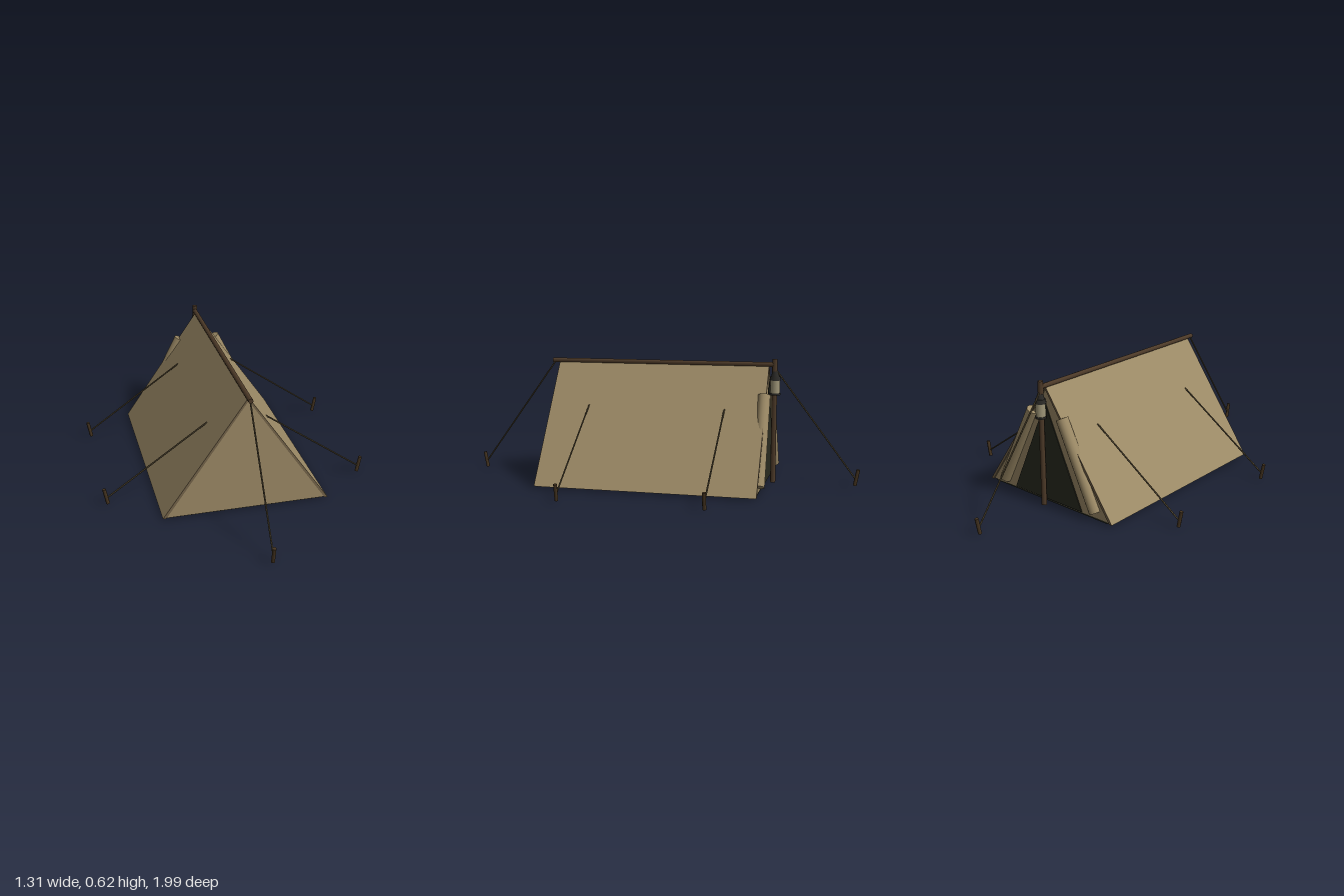
import * as THREE from 'three';

const paint = (name, color) => Object.assign(new THREE.MeshStandardMaterial({ color }), { name });

export function createModel() {
  const canvas = paint('canvas', 0x9c8a66);
  const hem = paint('canvas hem', 0x75644a);
  const dark = paint('dark cloth', 0x2a2b20);
  const wood = paint('wood', 0x4d3a28);
  const peg = paint('peg wood', 0x44331f);
  const rope = paint('rope', 0x4f4530);
  const metal = paint('lantern metal', 0x2b2a27);
  const glass = paint('lantern glass', 0x9f9678);

  const model = new THREE.Group();
  model.name = 'tent';
  const V = (x, y, z) => new THREE.Vector3(x, y, z);

  function add(name, geometry, material, x = 0, y = 0, z = 0) {
    const mesh = new THREE.Mesh(geometry, material);
    mesh.name = name;
    mesh.position.set(x, y, z);
    model.add(mesh);
    return mesh;
  }

  // Round bar between two points
  function bar(name, a, b, radius, material, sides = 8) {
    const d = b.clone().sub(a);
    const mesh = add(name, new THREE.CylinderGeometry(radius, radius, d.length(), sides), material);
    mesh.position.copy(a).add(b).multiplyScalar(0.5);
    mesh.quaternion.setFromUnitVectors(V(0, 1, 0), d.normalize());
    return mesh;
  }

  // Outline drawn in x and y, pushed along z
  function slab(name, points, z0, z1, material) {
    const shape = new THREE.Shape(points.map(([x, y]) => new THREE.Vector2(x, y)));
    const geometry = new THREE.ExtrudeGeometry(shape, { depth: z1 - z0, bevelEnabled: false });
    return add(name, geometry, material, 0, 0, z0);
  }

  // Sloping roof sheets with darker hems at both ends
  for (const s of [1, -1]) {
    const section = [[0, 0.592], [0, 0.575], [s * 0.388, 0.01], [s * 0.404, 0.01]];
    slab('roofSheet', section, -0.54, 0.545, canvas);
    for (const z of [-0.543, 0.545]) slab('roofHem', section, z, z + 0.003, hem);
    add('bottomHem', new THREE.BoxGeometry(0.014, 0.004, 1.08), hem, s * 0.395, 0.01, 0);
  }

  // End walls, doorway and groundsheet
  const gable = [[-0.392, 0.01], [0.392, 0.01], [0, 0.58]];
  slab('frontWall', gable, 0.535, 0.543, canvas);
  slab('backWall', gable, -0.535, -0.529, canvas);
  slab('doorway', [[-0.22, 0.02], [0.22, 0.02], [0, 0.51]], -0.546, -0.541, dark);
  add('groundsheet', new THREE.BoxGeometry(0.74, 0.008, 1.07), dark, 0, 0.008, 0);

  // Rolled door flaps
  for (const s of [1, -1]) {
    bar('rolledFlap', V(s * 0.095, 0.45, -0.532), V(s * 0.3, 0.04, -0.537), 0.03, canvas, 16);
  }

  // Ridge and upright pole
  bar('ridgePole', V(0, 0.592, 0.585), V(0, 0.592, -0.575), 0.012, wood);
  bar('uprightPole', V(0, 0, -0.57), V(0, 0.62, -0.57), 0.013, wood);

  // Lantern around the pole
  const tier = (name, top, bottom, y0, y1, material) =>
    add(name, new THREE.CylinderGeometry(top, bottom, y1 - y0, 12), material, 0, (y0 + y1) / 2, -0.573);
  tier('lanternBase', 0.027, 0.027, 0.442, 0.452, metal);
  tier('lanternGlass', 0.024, 0.024, 0.452, 0.515, glass);
  tier('lanternCap', 0.024, 0.028, 0.515, 0.535, metal);
  tier('lanternTop', 0.014, 0.02, 0.535, 0.56, metal);

  // Guy ropes, each tied to a peg leaning outwards
  function guy(from, dx, dz, reach) {
    bar('guyRope', from, V(dx * reach, 0.035, from.z * Math.abs(dx) + dz * reach), 0.004, rope, 6);
    const z = Math.abs(dx) * from.z;
    const low = reach - 0.005, high = reach + 0.01;
    bar('tentPeg', V(dx * low, 0.005, z + dz * low), V(dx * high, 0.085, z + dz * high), 0.009, peg);
  }
  for (const s of [1, -1]) {
    guy(V(0, s > 0 ? 0.585 : 0.57, s * 0.575), 0, s, 0.978);
    for (const z of [0.345, -0.345]) guy(V(s * 0.145, 0.382, z), s, 0, 0.638);
  }
  return model;
}
